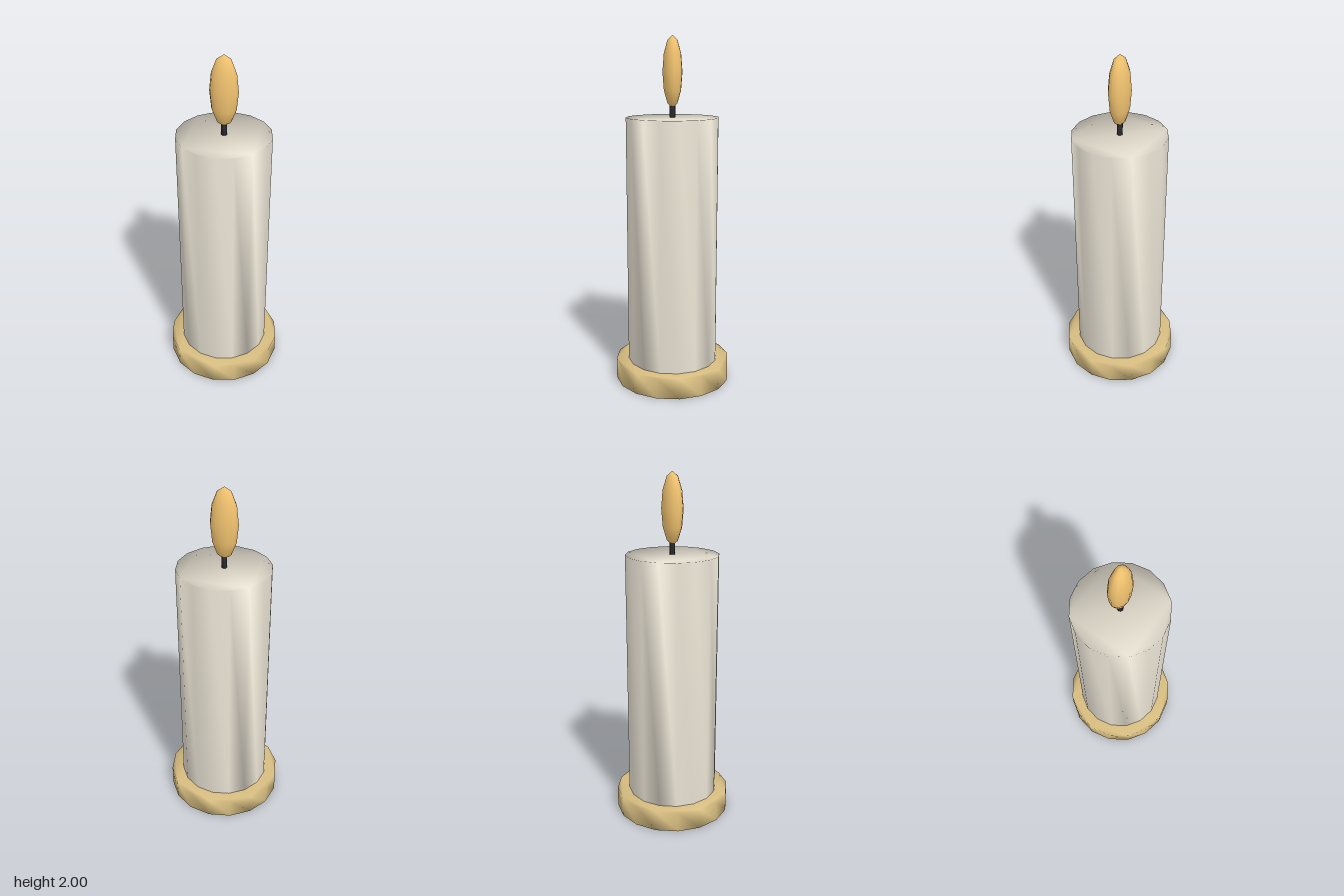
import * as THREE from 'three';
import { mergeVertices } from 'three/addons/utils/BufferGeometryUtils.js';

const mesh = (name, geometry, color) => {
  const m = new THREE.Mesh(geometry, new THREE.MeshStandardMaterial({ color }));
  m.name = name;
  return m;
};

// Closed polygonal disc or column whose shading runs smoothly over the rims
function prism(radius, y0, y1, sides) {
  const points = Array.from({ length: sides }, (_, i) => {
    const a = (i / sides) * Math.PI * 2;
    return new THREE.Vector2(radius * Math.cos(a), radius * Math.sin(a));
  });
  let g = new THREE.ExtrudeGeometry(new THREE.Shape(points), { depth: y1 - y0, bevelEnabled: false });
  g.rotateX(-Math.PI / 2).translate(0, y0, 0);
  g.deleteAttribute('normal');
  g.deleteAttribute('uv');
  g = mergeVertices(g);
  g.computeVertexNormals();
  return g;
}

export function createModel() {
  const model = new THREE.Group();
  model.name = 'candle';

  // Holder dish, wax column and wick
  model.add(mesh('base', prism(0.335, 0, 0.12, 16), 0xd6bc80));
  model.add(mesh('wax', prism(0.263, 0.12, 1.55, 16), 0xece5d6));
  model.add(mesh('wick', prism(0.016, 1.55, 1.63, 8), 0x2b2b2b));

  // Flattened, elongated flame
  const flame = new THREE.SphereGeometry(1, 12, 6);
  flame.scale(0.078, 0.2, 0.056).translate(0, 1.8, 0);
  model.add(mesh('flame', flame, 0xf3c470));

  return model;
}
